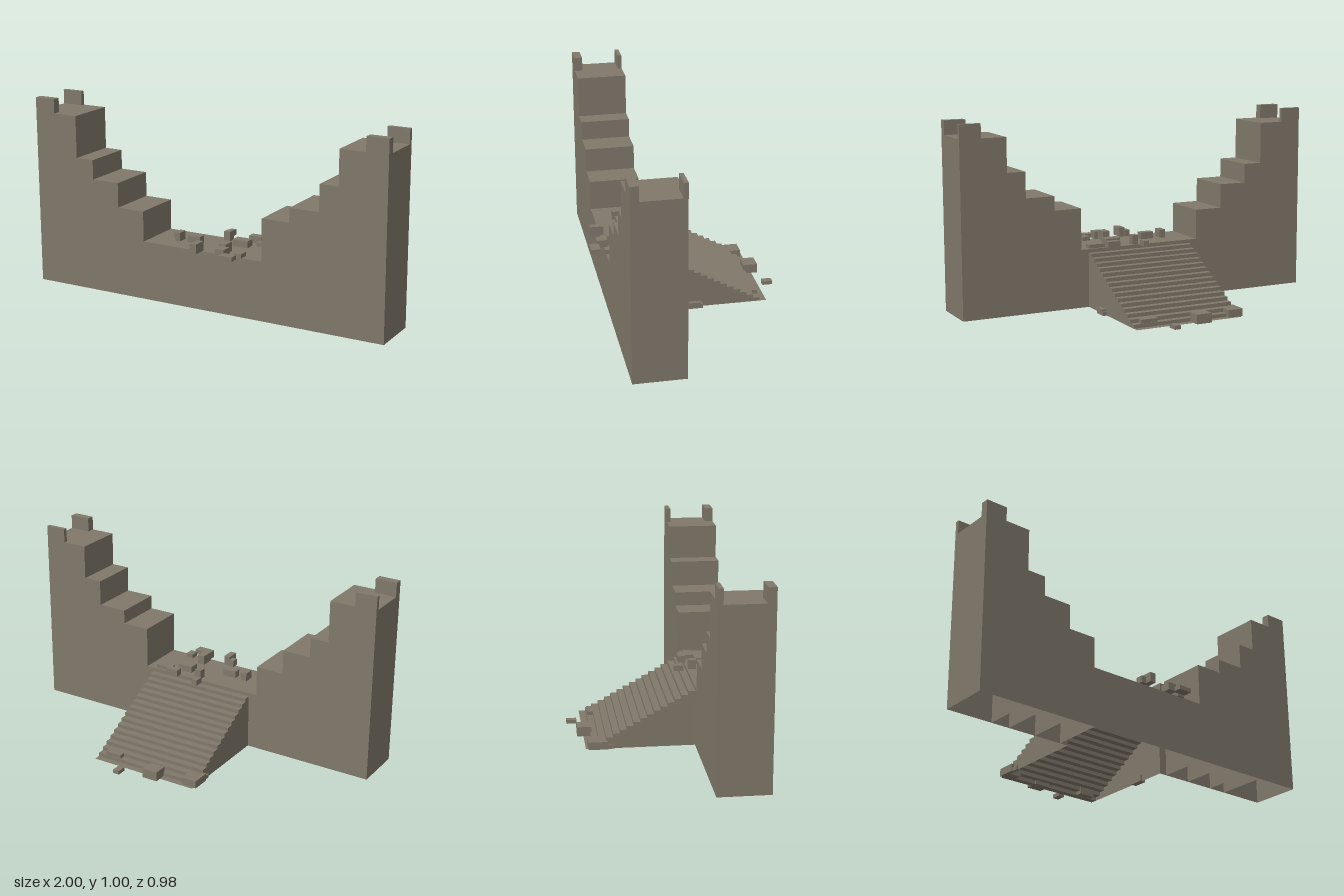
import * as THREE from 'three';

export function createModel() {
  const group = new THREE.Group();
  const stone = new THREE.MeshStandardMaterial({ color: 0x80786a, side: THREE.DoubleSide });
  stone.name = 'weathered stone';

  const add = (name, geo, parent = group) => {
    const mesh = new THREE.Mesh(geo, stone);
    mesh.name = name;
    parent.add(mesh);
    return mesh;
  };
  const section = (name) => {
    const g = new THREE.Group();
    g.name = name;
    group.add(g);
    return g;
  };

  // Box between two corners; faces listed in "open" (2 top, 3 bottom, 5 back) are left out
  const block = (name, [x0, x1], [y0, y1], [z0, z1], parent, open = []) => {
    const geo = new THREE.BoxGeometry(x1 - x0, y1 - y0, z1 - z0);
    geo.translate((x0 + x1) / 2, (y0 + y1) / 2, (z0 + z1) / 2);
    const index = Array.from(geo.index.array);
    geo.setIndex(index.filter((_, i) => !open.includes(Math.floor(i / 6))));
    geo.clearGroups();
    return add(name, geo, parent);
  };

  const back = 0.147, front = 0.413, floorY = 0.31;

  // Broken wall: hollow columns stepping down to the breach
  const wall = section('wall');
  [
    [-1, -0.75, 0.925], [-0.75, -0.65, 0.703], [-0.65, -0.497, 0.6], [-0.497, -0.345, 0.47],
    [0.342, 0.492, 0.53], [0.492, 0.65, 0.605], [0.65, 0.75, 0.743], [0.75, 1, 0.925],
  ].forEach(([x0, x1, h]) => block('wallColumn', [x0, x1], [0, h], [back, front], wall, [3]));

  // Breach floor, open at the back where the stair joins
  block('breach', [-0.345, 0.342], [0, floorY], [back, front], wall, [3, 5]);
  for (const [x0, x1] of [[-0.345, -0.3], [0.3, 0.342]]) {
    const strip = new THREE.PlaneGeometry(x1 - x0, floorY);
    strip.rotateY(Math.PI);
    strip.translate((x0 + x1) / 2, floorY / 2, back);
    add('breachBackStrip', strip, wall);
  }

  // Parapets at both ends of the wall
  for (const [x0, x1] of [[-1, -0.885], [0.885, 1]]) {
    block('frontParapet', [x0, x1], [0.925, 1], [0.37, front], wall, [3]);
    block('backParapet', [x0, x1], [0.925, 1], [back, 0.169], wall, [3]);
  }

  // Stair: hollow flight of treads and risers with solid cheeks
  const stair = section('stair');
  const steps = 16, rise = floorY / steps, run = 0.56 / steps, half = 0.3;
  const cheek = new THREE.Shape();
  cheek.moveTo(0, 0);
  for (let i = 0; i < steps; i++) {
    const y = floorY - (i + 1) * rise, z = back - i * run;
    const riser = new THREE.PlaneGeometry(half * 2, rise);
    riser.rotateY(Math.PI);
    riser.translate(0, y + rise / 2, z);
    add('riser', riser, stair);
    const tread = new THREE.PlaneGeometry(half * 2, run);
    tread.rotateX(-Math.PI / 2);
    tread.translate(0, Math.max(y, 0.0005), z - run / 2);
    add('tread', tread, stair);
    if (i < steps - 1) {
      cheek.lineTo(i * run, y);
      cheek.lineTo((i + 1) * run, y);
    }
  }
  cheek.lineTo((steps - 1) * run, 0);
  for (const x of [-half, half]) {
    const side = new THREE.ShapeGeometry(cheek);
    side.rotateY(Math.PI / 2);
    side.translate(x, 0, back);
    add('stairCheek', side, stair);
  }

  // Loose stones on the breach floor: x range, z range, top height
  const rubble = section('rubble');
  [
    [-0.02, 0.01, 0.075, 0.125, 0.34], [0.005, 0.04, 0.155, 0.195, 0.36],
    [0.13, 0.2, 0.115, 0.155, 0.345], [0.2, 0.29, 0.16, 0.205, 0.33],
    [0.09, 0.175, 0.2, 0.255, 0.345], [-0.145, -0.07, 0.27, 0.31, 0.347],
    [-0.215, -0.183, 0.265, 0.32, 0.355], [0.09, 0.13, 0.33, 0.395, 0.36],
    [0.19, 0.23, 0.37, 0.42, 0.332], [-0.06, -0.03, 0.39, 0.43, 0.345],
    [-0.033, 0, 0.395, 0.465, 0.36], [0.1, 0.15, 0.395, 0.45, 0.35],
    [0.14, 0.215, 0.44, 0.488, 0.332],
  ].forEach(([x0, x1, z0, z1, y]) => block('breachStone', [x0, x1], [floorY, y], [z0, z1], rubble));

  // Stones fallen around the foot of the stair
  [
    [-0.107, -0.022, -0.445, -0.37, 0.05], [0.095, 0.13, -0.49, -0.437, 0.02],
    [-0.315, -0.23, -0.4, -0.34, 0.04], [-0.315, -0.295, -0.36, -0.3, 0.04],
    [-0.308, -0.29, -0.3, -0.265, 0.02], [0.165, 0.255, -0.375, -0.34, 0.04],
    [0.29, 0.322, -0.06, 0.005, 0.032], [0.29, 0.322, -0.07, -0.06, 0.022],
  ].forEach(([x0, x1, z0, z1, y]) => block('groundStone', [x0, x1], [0, y], [z0, z1], rubble));

  return group;
}
